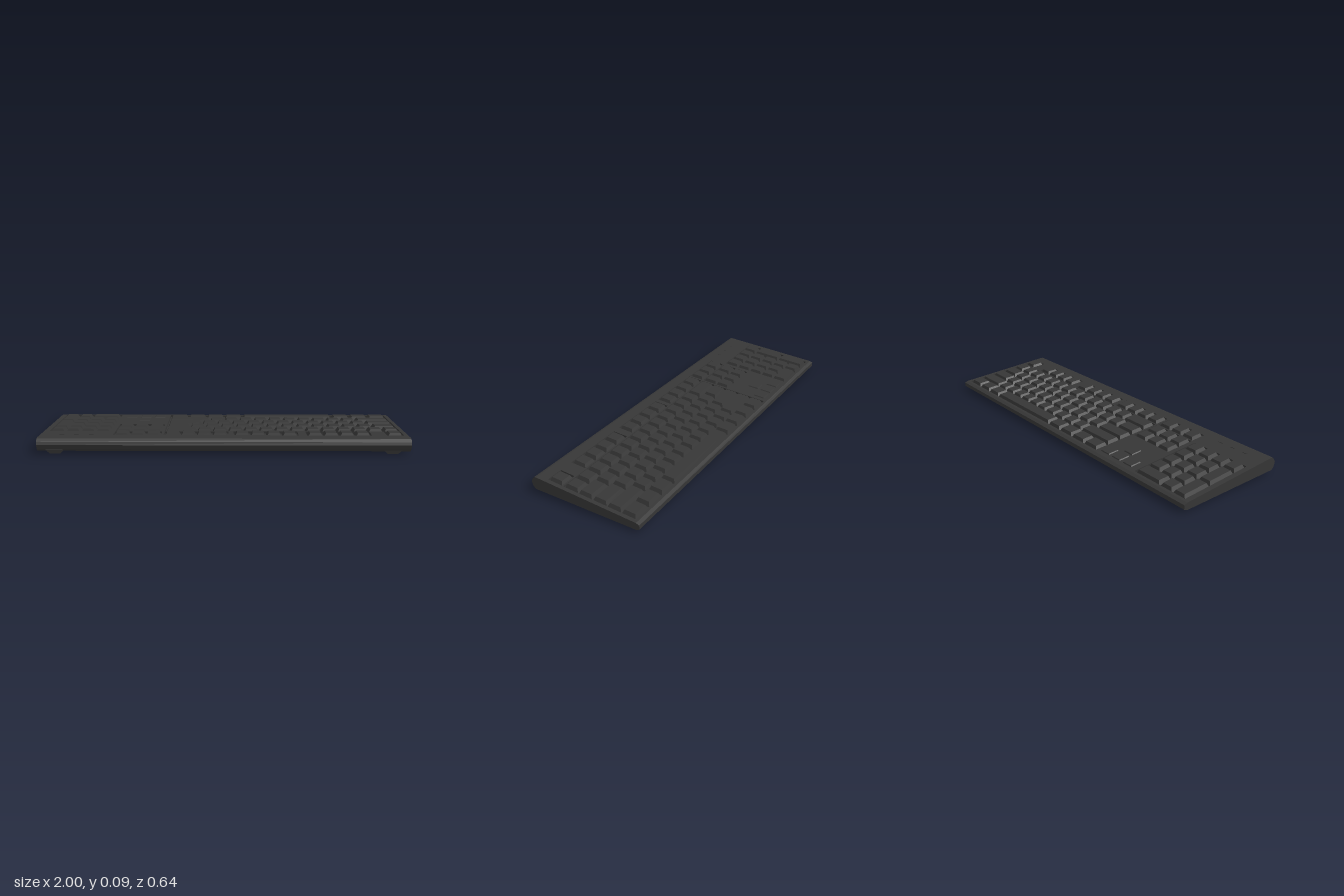
import * as THREE from 'three';

const RIM = 0.012; // depth of the key wells
const deckY = (z) => 0.083 - 0.061 * (0.29 - z);

// Follow the slope of the deck
function slope(geo) {
  const p = geo.attributes.position;
  for (let i = 0; i < p.count; i++) p.setY(i, p.getY(i) + deckY(p.getZ(i)));
  geo.computeVertexNormals();
  return geo;
}

function rect(path, x0, x1, z0, z1) {
  path.moveTo(x0, -z1);
  path.lineTo(x1, -z1);
  path.lineTo(x1, -z0);
  path.lineTo(x0, -z0);
  path.closePath();
  return path;
}

export function createModel() {
  const model = new THREE.Group();
  model.name = 'keyboard';
  const plastic = new THREE.MeshStandardMaterial({ color: 0x363636 });
  plastic.name = 'charcoal plastic';

  const add = (geo, name, parent = model) => {
    const mesh = new THREE.Mesh(geo, plastic);
    mesh.name = name;
    parent.add(mesh);
    return mesh;
  };

  // Wedge-shaped case, its profile swept across the width
  const profile = [
    [0.3, 0.012], [0.312, 0.025], [0.32, 0.05], [0.312, 0.066], [0.3, 0.081], [0.288, 0.083],
    [0.27, deckY(0.27)], [0.27, deckY(0.27) - RIM], [-0.3, deckY(-0.3) - RIM],
    [-0.3, deckY(-0.3)], [-0.318, 0.04], [-0.318, 0.017], [-0.3, 0.008],
  ];
  const side = new THREE.Shape(profile.map(([z, y]) => new THREE.Vector2(-z, y)));
  const caseGeo = new THREE.ExtrudeGeometry(side, { depth: 2, bevelEnabled: false });
  caseGeo.translate(0, 0, -1).rotateY(Math.PI / 2);
  add(caseGeo, 'case');

  // Layout measures: rows run from the high edge to the space bar
  const unit = 1.3 / 15, left = 0.975, rowZ = [0.188, 0.093, 0.01, -0.075, -0.158, -0.24];
  const navLeft = -0.345, navUnit = 0.085, padLeft = -0.632, padUnit = 0.084;
  const topGroups = [[0, 1], [2, 4], [6.6, 4], [11, 4]];

  // Deck plate with an opening around each block of keys
  const plate = rect(new THREE.Shape(), -1, 1, -0.3, 0.27);
  const opening = (x0, x1, z0, z1) => plate.holes.push(rect(new THREE.Path(), x0, x1, z0, z1));
  const top0 = rowZ[0] - 0.043, top1 = rowZ[0] + 0.043;
  for (const [u, n] of topGroups) {
    opening(left - (u + n) * unit - 0.003, left - u * unit + 0.003, top0, top1);
  }
  opening(left - 15 * unit - 0.004, left + 0.004, -0.285, 0.136);
  opening(navLeft - 3 * navUnit - 0.003, navLeft + 0.003, top0, top1);
  opening(navLeft - 3 * navUnit - 0.003, navLeft + 0.003, -0.034, 0.136);
  opening(padLeft - 4 * padUnit - 0.003, padLeft + 0.003, -0.285, 0.136);
  const deck = new THREE.ExtrudeGeometry(plate, { depth: RIM, bevelEnabled: false });
  deck.rotateX(-Math.PI / 2).translate(0, -RIM, 0);
  add(slope(deck), 'deckPlate');

  // Tapered keycap
  const keys = new THREE.Group();
  keys.name = 'keys';
  model.add(keys);
  function key(x0, x1, z, name, depth = 0.078, rise = 0.0095) {
    const w = x1 - x0 - 0.007, h = RIM + rise;
    const geo = new THREE.BoxGeometry(w, h, depth).translate(0, h / 2 - RIM, 0);
    const p = geo.attributes.position;
    for (let i = 0; i < p.count; i++) {
      if (p.getY(i) < 0) continue;
      p.setX(i, p.getX(i) - Math.sign(p.getX(i)) * 0.011);
      p.setZ(i, p.getZ(i) - Math.sign(p.getZ(i)) * 0.009);
    }
    geo.translate((x0 + x1) / 2, 0, z);
    add(slope(geo), name, keys);
  }
  function row(start, u, widths, z, name) {
    let x = start;
    for (const w of widths) {
      key(x - w * u, x, z, name);
      x -= w * u;
    }
  }
  const ones = (n) => Array(n).fill(1);

  // Separate groups along the high edge
  for (const [u, n] of topGroups) row(left - u * unit, unit, ones(n), rowZ[0], 'topRowKey');

  // Main block
  const mainRows = [
    [...ones(13), 2],
    [1.5, ...ones(12), 1.5],
    [1.75, ...ones(11), 2.25],
    [2.25, ...ones(10), 2.75],
    [1.25, 1.25, 1.25, 6.25, 1.25, 1.25, 1.25, 1.25],
  ];
  mainRows.forEach((widths, i) => row(left, unit, widths, rowZ[i + 1], 'mainKey'));

  // Navigation block and low arrow keys
  for (const i of [0, 1, 2]) row(navLeft, navUnit, ones(3), rowZ[i], 'navigationKey');
  for (const [u, i] of [[1, 4], [0, 5], [1, 5], [2, 5]]) {
    const x = navLeft - u * navUnit;
    key(x - navUnit, x, rowZ[i], 'arrowKey', 0.078, 0.005);
  }

  // Number pad with two double-height keys on its outer column
  row(padLeft, padUnit, ones(4), rowZ[1], 'padKey');
  for (const i of [2, 3, 4]) row(padLeft, padUnit, ones(3), rowZ[i], 'padKey');
  row(padLeft, padUnit, [2, 1], rowZ[5], 'padKey');
  for (const i of [2, 4]) {
    const z = (rowZ[i] + rowZ[i + 1]) / 2;
    key(padLeft - 4 * padUnit, padLeft - 3 * padUnit, z, 'tallPadKey', 0.161);
  }

  // Indicator slits above the number pad
  for (const x of [-0.88, -0.8, -0.72]) {
    const slit = new THREE.BoxGeometry(0.025, 0.003, 0.006).translate(x, 0.001, 0.232);
    add(slope(slit), 'indicator');
  }

  // Wedge feet under the high edge, small pads under the low edge
  for (const s of [-1, 1]) {
    const foot = new THREE.CylinderGeometry(0.06, 0.035, 0.02, 4, 1).rotateY(Math.PI / 4);
    foot.scale(1.15, 1, 0.2).translate(s * 0.905, 0.01, 0.303);
    const flatFoot = foot.toNonIndexed();
    flatFoot.computeVertexNormals();
    add(flatFoot, 'frontFoot');
    add(new THREE.BoxGeometry(0.07, 0.008, 0.012).translate(s * 0.905, 0.007, -0.294), 'rearPad');
  }
  return model;
}
